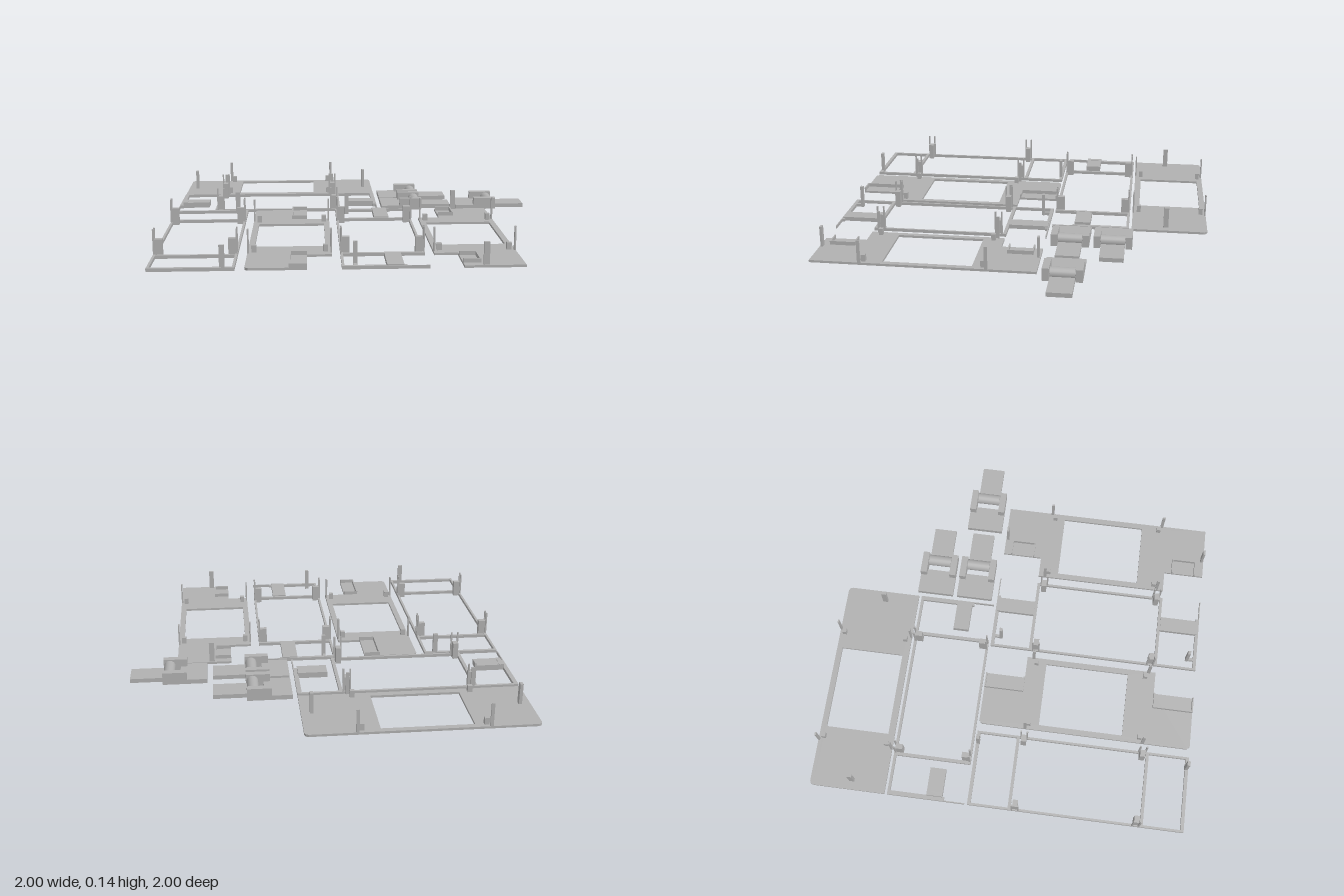
import * as THREE from 'three';

const grey = new THREE.MeshStandardMaterial({ color: 0xb0b0b0 });
grey.name = 'plain grey';

// Box given by its limits on each axis
function box(parent, name, x0, x1, z0, z1, y1, y0 = 0) {
  const m = new THREE.Mesh(new THREE.BoxGeometry(x1 - x0, y1 - y0, z1 - z0), grey);
  m.position.set((x0 + x1) / 2, (y0 + y1) / 2, (z0 + z1) / 2);
  m.name = name;
  parent.add(m);
  return m;
}

function section(root, name) {
  const g = new THREE.Group();
  g.name = name;
  root.add(g);
  return g;
}

// Flat panel with a rectangular window; outline points are [x, z]
function panel(parent, points, [x0, x1, z0, z1]) {
  const shape = new THREE.Shape(points.map(([x, z]) => new THREE.Vector2(x, -z)));
  shape.holes.push(new THREE.Path([[x0, z0], [x0, z1], [x1, z1], [x1, z0]].map(([x, z]) => new THREE.Vector2(x, -z))));
  const geo = new THREE.ExtrudeGeometry(shape, { depth: 0.012, bevelEnabled: false });
  geo.rotateX(-Math.PI / 2);
  const m = new THREE.Mesh(geo, grey);
  m.name = 'panel';
  parent.add(m);
}

// Corner post: low block with two tall prongs on the outer rail.
// (ix, iz) is the inward direction from the rail.
function post(parent, x, z, ix, iz) {
  const g = section(parent, 'cornerPost');
  g.position.set(x, 0, z);
  g.rotation.y = Math.atan2(-iz, ix);
  box(g, 'postBlock', 0.008, 0.045, -0.014, 0.014, 0.09);
  for (const s of [-1, 1]) box(g, 'prong', 0, 0.008, s * 0.017 - 0.004, s * 0.017 + 0.004, 0.14);
}

// Three-walled tray, closed at xWall and open at xOpen
function tray(parent, xWall, xOpen, z0, z1) {
  const t = 0.007, s = Math.sign(xOpen - xWall);
  const lo = Math.min(xWall, xOpen), hi = Math.max(xWall, xOpen);
  box(parent, 'trayBack', Math.min(xWall, xWall + s * t), Math.max(xWall, xWall + s * t), z0, z1, 0.032);
  box(parent, 'trayEnd', lo, hi, z0, z0 + t, 0.032);
  box(parent, 'trayEnd', lo, hi, z1 - t, z1, 0.032);
}

// Small stub and thin pin used along panel edges
function stub(parent, x, z) {
  box(parent, 'stub', x - 0.012, x + 0.012, z - 0.011, z + 0.011, 0.047);
}
function pin(parent, x, z, dx, dz) {
  box(parent, 'pin', x - dx, x + dx, z - dz, z + dz, 0.132);
}

// Latch: base, side cheeks, roller and tongue
function latch(root, x, z) {
  const g = section(root, 'latch');
  g.position.set(x, 0, z);
  box(g, 'base', 0, 0.14, 0.005, 0.195, 0.024);
  for (const z0 of [0, 0.165]) {
    box(g, 'cheek', 0.105, 0.23, z0, z0 + 0.035, 0.065);
    box(g, 'cheekFoot', 0, 0.105, z0, z0 + 0.035, 0.024);
  }
  const roller = new THREE.Mesh(new THREE.CylinderGeometry(0.03, 0.03, 0.125, 20), grey);
  roller.name = 'roller';
  roller.rotation.x = Math.PI / 2;
  roller.position.set(0.197, 0.031, 0.1);
  g.add(roller);
  const axle = new THREE.Mesh(new THREE.CylinderGeometry(0.01, 0.01, 0.16, 12), grey);
  axle.name = 'axle';
  axle.rotation.x = Math.PI / 2;
  axle.position.copy(roller.position);
  g.add(axle);
  box(g, 'tongue', 0.2, 0.4, 0.038, 0.162, 0.022);
}

export function createModel() {
  const root = new THREE.Group();
  root.name = 'partsSheet';
  const H = 0.016;

  // Back panel
  const back = section(root, 'backPanel');
  const c = 0.02;
  panel(back, [[-1 + c, -1], [0.145 - c, -1], [0.145 - 0.006, -0.994], [0.145, -1 + c], [0.145, -0.595],
    [-1, -0.595], [-1, -1 + c], [-0.994, -0.994]], [-0.675, -0.22, -0.97, -0.63]);
  for (const x of [-0.73, -0.127]) for (const z of [-0.972, -0.628]) stub(back, x, z);
  for (const x of [-0.75, -0.107]) for (const z of [-0.995, -0.598]) pin(back, x, z, 0.008, 0.004);
  for (const x of [-0.948, 0.092]) box(back, 'peg', x - 0.008, x + 0.008, -0.792, -0.765, 0.122);

  // Wide frame behind the middle
  const wide = section(root, 'wideFrame');
  box(wide, 'rail', -1, 0.145, -0.58, -0.566, H);
  box(wide, 'rail', -0.785, -0.07, -0.175, -0.162, H);
  box(wide, 'crossBar', -0.785, -0.768, -0.58, -0.162, H);
  box(wide, 'crossBar', -0.087, -0.07, -0.58, -0.162, H);
  box(wide, 'endBar', -1, -0.977, -0.58, -0.275, H);
  box(wide, 'endBar', 0.122, 0.145, -0.58, -0.275, H);
  box(wide, 'endLip', -1, -0.995, -0.275, -0.165, H);
  box(wide, 'endLip', 0.14, 0.145, -0.275, -0.165, H);
  box(wide, 'tab', -0.98, -0.955, -0.37, -0.285, 0.032);
  box(wide, 'tab', -0.955, -0.83, -0.37, -0.285, 0.03);
  box(wide, 'tab', -0.03, 0.125, -0.37, -0.285, 0.03);
  for (const x of [-0.752, -0.107]) {
    post(wide, x, -0.575, 0, 1);
    post(wide, x, -0.165, 0, -1);
  }

  // Long frame at the right
  const longFrame = section(root, 'longFrame');
  box(longFrame, 'rail', -1, -0.988, -0.15, 1, H);
  box(longFrame, 'rail', -0.607, -0.595, -0.15, 1, H);
  for (const [z0, z1] of [[-0.15, -0.132], [0.066, 0.082], [0.768, 0.784], [0.982, 1]])
    box(longFrame, 'crossBar', -1, -0.595, z0, z1, H);
  for (const z of [-0.138, 0.988]) box(longFrame, 'peg', -0.665, -0.64, z - 0.008, z + 0.008, 0.122);
  for (const z of [0.105, 0.745]) {
    post(longFrame, -1, z, 1, 0);
    post(longFrame, -0.595, z, -1, 0);
  }

  // Two notched panels
  const pA = section(root, 'notchedPanel');
  panel(pA, [[-0.535, -0.15], [-0.262, -0.15], [-0.262, 0.066], [-0.14, 0.066], [-0.14, 0.782],
    [-0.262, 0.782], [-0.262, 1], [-0.535, 1], [-0.55, 0.985], [-0.55, -0.135]], [-0.52, -0.17, 0.175, 0.63]);
  tray(pA, -0.345, -0.262, -0.15, 0.066);
  tray(pA, -0.345, -0.262, 0.782, 1);

  const pB = section(root, 'notchedPanel');
  panel(pB, [[0.47, -0.15], [0.76, -0.15], [0.76, 1], [0.47, 1], [0.47, 0.782], [0.355, 0.782],
    [0.355, 0.066], [0.47, 0.066]], [0.385, 0.73, 0.175, 0.63]);
  tray(pB, 0.555, 0.47, -0.11, 0.025);
  tray(pB, 0.555, 0.47, 0.82, 0.955);
  for (const z of [-0.138, 0.988]) box(pB, 'peg', 0.56, 0.588, z - 0.006, z + 0.006, 0.122);
  for (const [g, x0, x1] of [[pA, -0.55, -0.14], [pB, 0.355, 0.76]]) for (const z of [0.12, 0.725]) {
    stub(g, x0 + 0.031, z);
    stub(g, x1 - 0.03, z);
    for (const x of [x0 + 0.004, x1 - 0.004]) pin(g, x, z + (z < 0.4 ? -0.018 : 0.018), 0.004, 0.008);
  }

  // Open-ended frame between the notched panels
  const open = section(root, 'openFrame');
  box(open, 'rail', -0.1, -0.088, -0.15, 1, H);
  box(open, 'rail', 0.298, 0.31, 0.066, 0.784, H);
  for (const z of [0.066, 0.768]) box(open, 'crossBar', -0.1, 0.31, z, z + 0.016, H);
  box(open, 'endBar', -0.1, 0.205, -0.15, -0.132, H);
  box(open, 'endBar', -0.1, 0.205, 0.982, 1, H);
  box(open, 'endLip', 0.205, 0.31, -0.15, -0.145, H);
  box(open, 'endLip', 0.205, 0.31, 0.995, 1, H);
  for (const [z0, z1] of [[-0.145, 0.066], [0.784, 0.995]]) box(open, 'strip', 0.11, 0.19, z0, z1, 0.022);
  for (const [z0, z1] of [[-0.135, -0.105], [0.955, 0.985]]) box(open, 'pegFoot', -0.045, -0.03, z0, z1, H);
  for (const z of [-0.097, 0.947]) box(open, 'peg', -0.047, -0.027, z - 0.008, z + 0.008, 0.122);
  for (const z of [0.105, 0.745]) {
    post(open, -0.1, z, 1, 0);
    post(open, 0.31, z, -1, 0);
  }

  // Three latches
  latch(root, 0.17, -0.605);
  latch(root, 0.17, -0.382);
  latch(root, 0.6, -0.382);
  return root;
}
